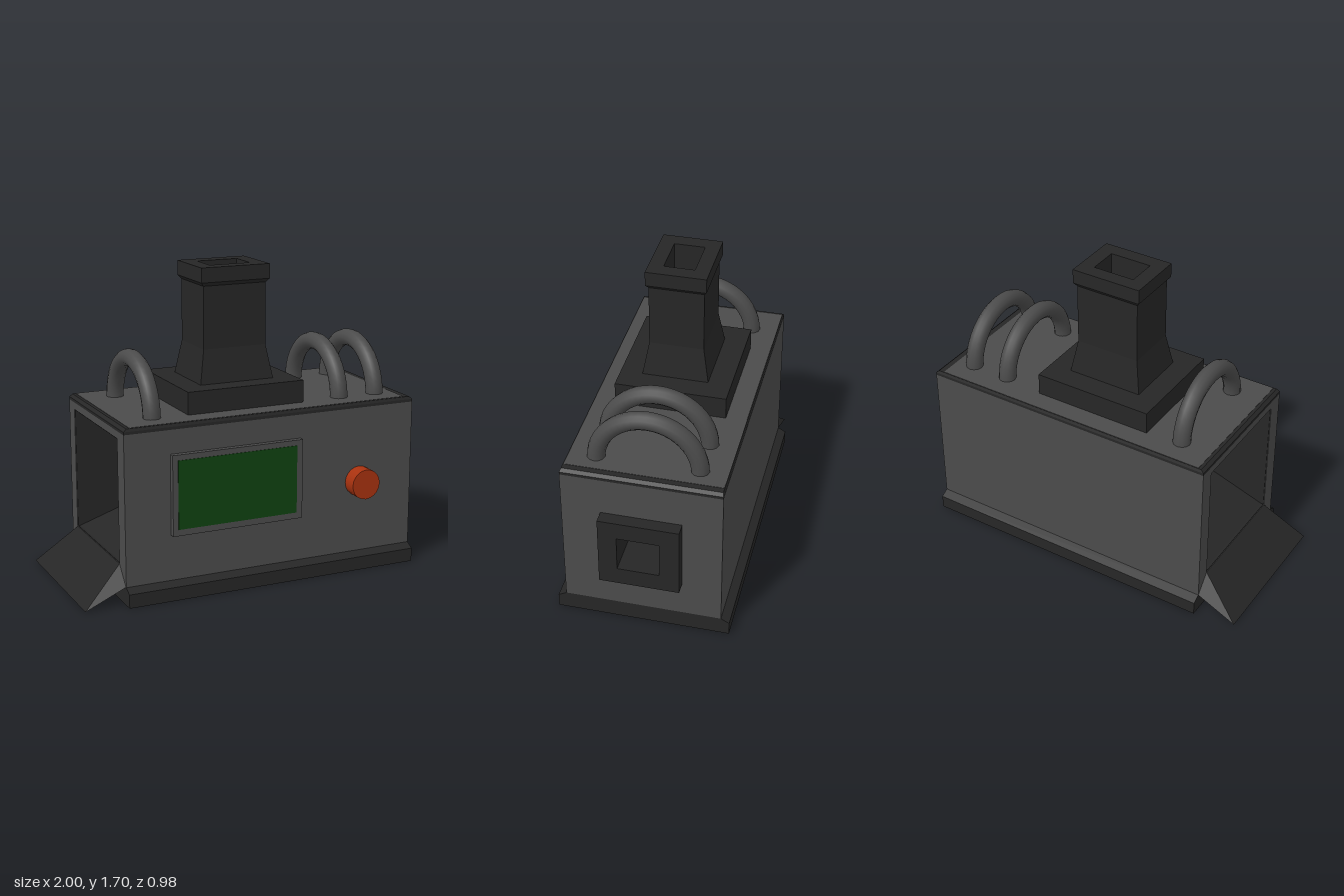
import * as THREE from 'three';

const mat = (name, color, side = THREE.FrontSide) => {
  const m = new THREE.MeshStandardMaterial({ color, side });
  m.name = name;
  return m;
};

// Rectangle path in the side plane: [z0, z1, y0, y1], drawn with X = -z
function rectPath(Type, [z0, z1, y0, y1]) {
  const p = new Type();
  p.moveTo(-z1, y0);
  p.lineTo(-z0, y0);
  p.lineTo(-z0, y1);
  p.lineTo(-z1, y1);
  p.closePath();
  return p;
}

// Extrudes a side-plane shape along x from x0 to x1
function alongX(shape, x0, x1) {
  const g = new THREE.ExtrudeGeometry(shape, { depth: x1 - x0, bevelEnabled: false });
  return g.rotateY(Math.PI / 2).translate(x0, 0, 0);
}

// Rectangular tube along x
function tubeX(outer, hole, x0, x1) {
  const s = rectPath(THREE.Shape, outer);
  s.holes.push(rectPath(THREE.Path, hole));
  return alongX(s, x0, x1);
}

// Flat-faced geometry from lists of corner points
function faces(list) {
  const pos = [];
  for (const f of list) {
    for (let i = 1; i < f.length - 1; i++) pos.push(...f[0], ...f[i], ...f[i + 1]);
  }
  const g = new THREE.BufferGeometry();
  g.setAttribute('position', new THREE.Float32BufferAttribute(pos, 3));
  g.computeVertexNormals();
  return g;
}

// Lofts rectangular sections [y, half width x, half depth z] around a centre
function loft(cx, cz, sections) {
  const rings = sections.map(([y, w, d]) => [
    [cx - w, y, cz + d], [cx + w, y, cz + d], [cx + w, y, cz - d], [cx - w, y, cz - d],
  ]);
  const list = [[...rings[0]].reverse(), rings[rings.length - 1]];
  for (let i = 0; i < rings.length - 1; i++) {
    for (let k = 0; k < 4; k++) {
      const n = (k + 1) % 4;
      list.push([rings[i][k], rings[i][n], rings[i + 1][n], rings[i + 1][k]]);
    }
  }
  return faces(list);
}

function box(x0, x1, y0, y1, z0, z1) {
  return new THREE.BoxGeometry(x1 - x0, y1 - y0, z1 - z0)
    .translate((x0 + x1) / 2, (y0 + y1) / 2, (z0 + z1) / 2);
}

export function createModel() {
  const model = new THREE.Group();
  model.name = 'machine';
  const grey = mat('casing grey', 0x4b4b4b);
  const dark = mat('dark metal', 0x262626);
  const green = mat('screen green', 0x0f4210);
  const orange = mat('knob orange', 0xa8320f);
  const add = (name, geometry, material) => {
    const m = new THREE.Mesh(geometry, material);
    m.name = name;
    model.add(m);
    return m;
  };

  const X0 = -0.775, X1 = 0.93;
  const outer = [-0.445, 0.405, 0.1, 0.92];
  const mouth = [-0.36, 0.31, 0.2, 0.88];
  const vent = [-0.235, 0.195, 0.305, 0.71];
  const ventHole = [-0.13, 0.095, 0.405, 0.61];

  // Base plinth with sloped long edges
  const plinth = new THREE.Shape();
  [[-0.45, 0], [0.49, 0], [0.49, 0.075], [0.445, 0.1], [-0.405, 0.1], [-0.45, 0.075]]
    .forEach(([x, y], i) => (i ? plinth.lineTo(x, y) : plinth.moveTo(x, y)));
  add('base', alongX(plinth, X0, X1), dark);

  // Hollow casing, open at one end
  add('casing', tubeX(outer, mouth, X0, 0.85), grey);
  add('endWall', tubeX(outer, vent, 0.85, X1), grey);

  // Dark chute inside the open end
  const inner = [mouth[0] + 0.004, mouth[1] - 0.004, mouth[2] + 0.004, mouth[3] - 0.004];
  add('chuteLining', tubeX(mouth, inner, X0 + 0.003, 0.5), dark);
  add('chuteBack', box(0.5, 0.52, 0.2, 0.88, -0.36, 0.31), dark);
  const slope = new THREE.Shape();
  slope.moveTo(X0 + 0.003, 0.2);
  slope.lineTo(0.5, 0.2);
  slope.lineTo(0.5, 0.62);
  slope.closePath();
  add('chuteFloor', new THREE.ExtrudeGeometry(slope, { depth: 0.67, bevelEnabled: false })
    .translate(0, 0, -0.36), dark);

  // Ramp flap below the opening
  const A = [-1, 0, 0.4], B = [-1, 0, -0.45];
  const C = [X0, 0.1, -0.445], D = [X0, 0.1, 0.4];
  const E = [X0, 0.2, -0.36], F = [X0, 0.2, 0.31];
  add('ramp', faces([[A, F, E, B], [A, D, F], [B, E, C], [A, B, C, D]]), dark);

  // Bevelled rim and top panel
  add('topRim', loft(0.0775, -0.02, [
    [0.92, 0.8525, 0.425], [0.935, 0.8525, 0.425], [0.95, 0.835, 0.419],
  ]), dark);
  add('topPanel', box(-0.74, 0.88, 0.946, 0.952, -0.437, 0.393), grey);

  // Side vent with a deep square hole
  add('vent', tubeX(vent, ventHole, 0.75, 1), dark);
  add('ventBack', box(0.73, 0.75, 0.305, 0.71, -0.235, 0.195), dark);

  // Chimney: foot, flared neck, collar and hollow flue
  add('chimneyFoot', box(-0.365, 0.315, 0.95, 1.075, -0.325, 0.28), dark);
  add('chimney', loft(-0.025, -0.02, [
    [1.075, 0.215, 0.18], [1.26, 0.183, 0.148], [1.6, 0.183, 0.148],
    [1.62, 0.2, 0.1625], [1.7, 0.2, 0.1625],
    [1.7, 0.118, 0.083], [1.3, 0.118, 0.083],
  ]), dark);

  // Arched pipes on the top
  for (const x of [-0.56, 0.55, 0.775]) {
    const pipe = add('pipe', new THREE.TorusGeometry(0.273, 0.048, 12, 24, Math.PI), grey);
    pipe.rotation.y = Math.PI / 2;
    pipe.position.set(x, 0.944, -0.02);
  }

  // Screen and its surround
  add('screenFrame', box(-0.52, 0.235, 0.35, 0.79, 0.4, 0.435), grey);
  add('screen', box(-0.49, 0.2, 0.385, 0.76, 0.432, 0.438), green);

  // Control knob
  add('knob', new THREE.CylinderGeometry(0.084, 0.084, 0.09, 20)
    .rotateX(Math.PI / 2).translate(0.6, 0.505, 0.445), orange);

  return model;
}
